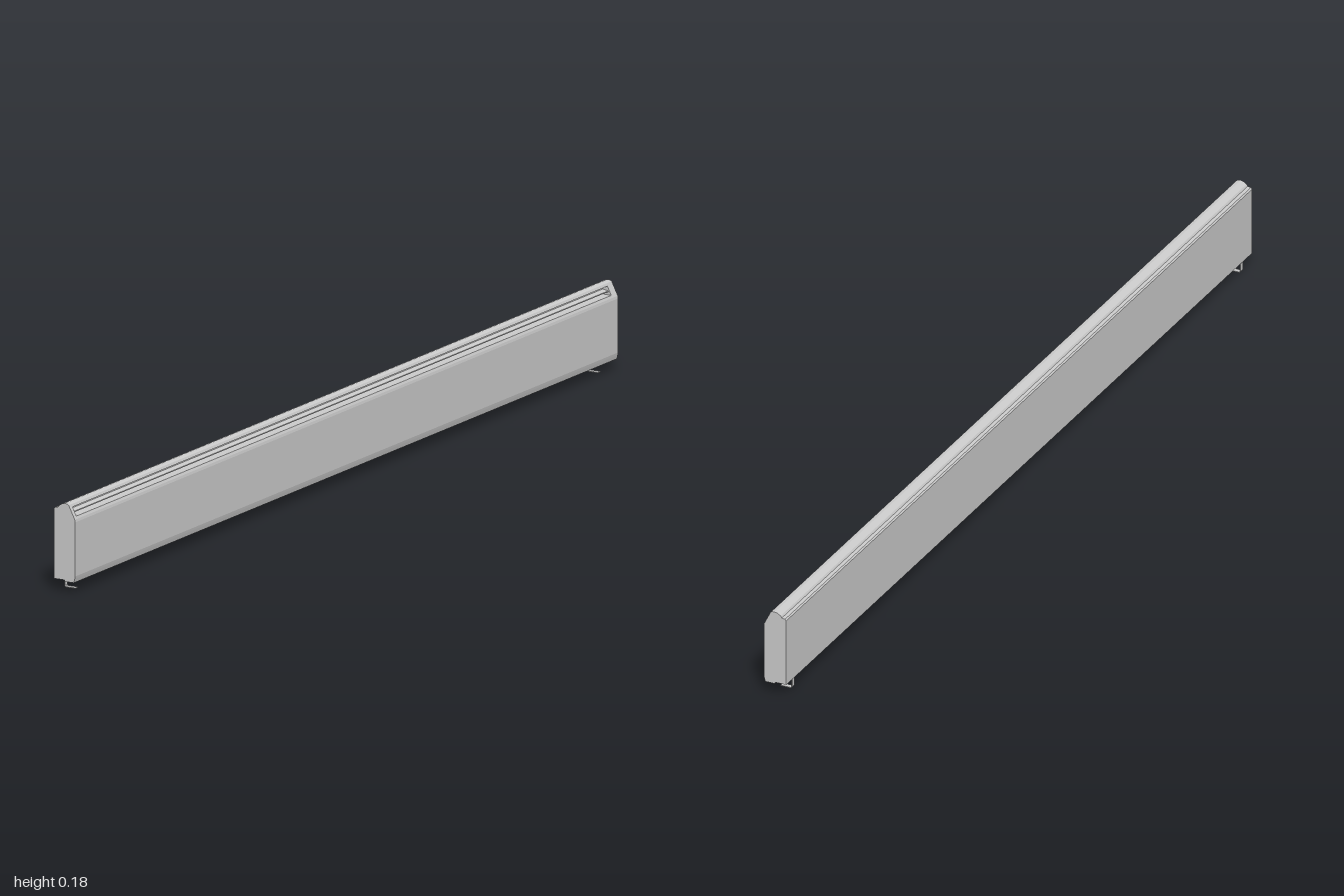
import * as THREE from 'three';

const material = new THREE.MeshStandardMaterial({ color: 0xcccccc });

// Extrudes an x/y outline from z0 to z1
function extrusion(name, points, z0, z1) {
  const shape = new THREE.Shape(points.map(([x, y]) => new THREE.Vector2(x, y)));
  const geometry = new THREE.ExtrudeGeometry(shape, { depth: z1 - z0, bevelEnabled: false });
  geometry.translate(0, 0, z0);
  const mesh = new THREE.Mesh(geometry, material);
  mesh.name = name;
  return mesh;
}

export function createModel() {
  const group = new THREE.Group();
  group.name = 'baseboardHeater';

  // Outline shared by casing and end caps: bottom and back, stepped top, sloped front
  const back = [
    [0, 0.021], [0, 0.024], [-0.0245, 0.024], [-0.0245, 0.162], [-0.022, 0.165],
    [-0.015, 0.166], [-0.0125, 0.17], [-0.006, 0.174], [0, 0.1755], [0.006, 0.175], [0.009, 0.173],
  ];
  const front = [[0.0225, 0.146], [0.0235, 0.141], [0.0235, 0.034], [0.0225, 0.029], [0.0205, 0.021]];
  const slot = [[0.0115, 0.168], [0.001, 0.168], [0.001, 0.151], [0.0203, 0.151]];

  group.add(extrusion('casing', [...back, ...slot, ...front], -0.98, 0.99));
  group.add(extrusion('backEndCap', [...back, ...front], -1, -0.98));
  group.add(extrusion('frontEndCap', [...back, ...front], 0.99, 1));

  // Louvre blade running inside the outlet slot
  group.add(extrusion('louvre',
    [[0.001, 0.161], [0.001, 0.159], [0.0135, 0.157], [0.0135, 0.159]], -0.98, 0.99));

  // Bent strap brackets under both ends
  const outer = [
    [0.002, 0.022], [-0.0185, 0.022], [-0.021, 0.0195],
    [-0.021, 0.003], [-0.0185, 0], [0.004, 0],
  ];
  const inner = [
    [0.004, 0.0015], [-0.018, 0.0015], [-0.0195, 0.0035],
    [-0.0195, 0.019], [-0.018, 0.0205], [0.002, 0.0205],
  ];
  for (const z of [-0.962, 0.962]) {
    group.add(extrusion('bracket', [...outer, ...inner], z - 0.005, z + 0.005));
    const tab = new THREE.Mesh(new THREE.BoxGeometry(0.014, 0.003, 0.01), material);
    tab.name = 'bracketTab';
    tab.position.set(-0.01, 0.0232, z);
    group.add(tab);
  }
  return group;
}
